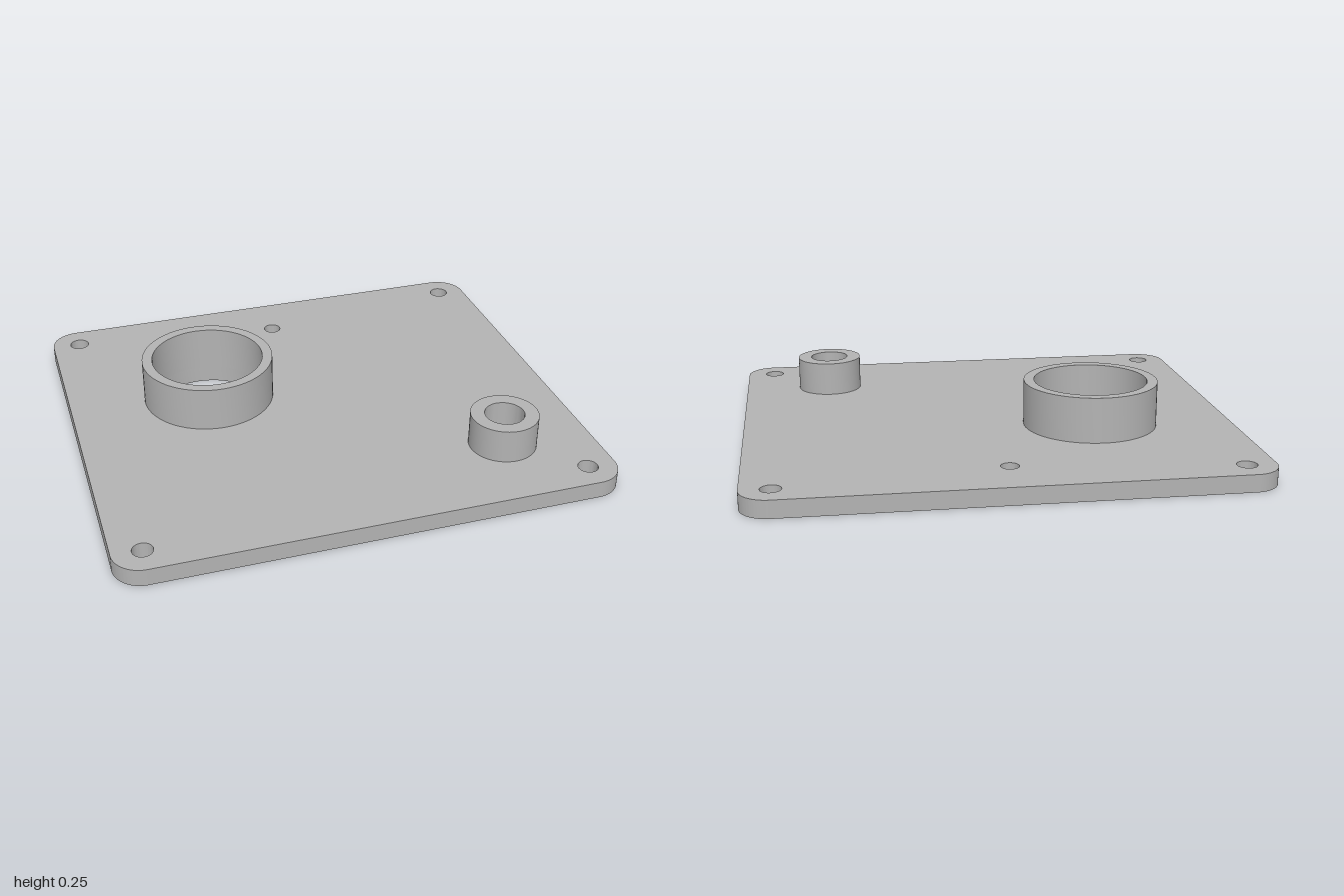
import * as THREE from 'three';
import { toCreasedNormals } from 'three/addons/utils/BufferGeometryUtils.js';

const HALF_W = 1, HALF_D = 0.895, THICK = 0.07, CORNER = 0.115;
const CREASE = Math.PI / 6;

// Hollow collars standing on the plate; each bore goes right through it
const collars = [
  { name: 'largeCollar', x: -0.415, z: -0.183, outer: 0.274, bore: 0.232, top: 0.255 },
  { name: 'smallCollar', x: 0.63, z: 0.53, outer: 0.137, bore: 0.08, top: 0.21 },
];

export function createModel() {
  const group = new THREE.Group();
  const grey = new THREE.MeshStandardMaterial({ color: 0xb3b3b3 });
  grey.name = 'grey';

  const add = (name, geometry) => {
    const mesh = new THREE.Mesh(toCreasedNormals(geometry, CREASE), grey);
    mesh.name = name;
    group.add(mesh);
    return mesh;
  };

  // Rounded plate outline, drawn flat with shape y = -z
  const outline = new THREE.Shape();
  const cx = HALF_W - CORNER, cy = HALF_D - CORNER;
  [[cx, cy], [-cx, cy], [-cx, -cy], [cx, -cy]].forEach(([x, y], i) => {
    outline.absarc(x, y, CORNER, i * Math.PI / 2, (i + 1) * Math.PI / 2, false);
  });
  outline.closePath();

  const drill = (x, z, r) => {
    const hole = new THREE.Path();
    hole.absarc(x, -z, r, 0, Math.PI * 2, true);
    outline.holes.push(hole);
  };

  // Corner screw holes, one pilot hole, and the collar bores
  for (const sx of [-1, 1]) {
    for (const sz of [-1, 1]) drill(sx * 0.883, sz * 0.782, 0.04);
  }
  drill(0, -0.667, 0.036);
  for (const c of collars) drill(c.x, c.z, c.bore);

  const plate = new THREE.ExtrudeGeometry(outline, { depth: THICK, bevelEnabled: false, curveSegments: 32 });
  plate.rotateX(-Math.PI / 2);
  add('basePlate', plate);

  // Collar walls: outside, rim, inside
  for (const c of collars) {
    const profile = [[c.outer, THICK], [c.outer, c.top], [c.bore, c.top], [c.bore, THICK]]
      .map(([r, y]) => new THREE.Vector2(r, y));
    add(c.name, new THREE.LatheGeometry(profile, 64)).position.set(c.x, 0, c.z);
  }

  return group;
}
